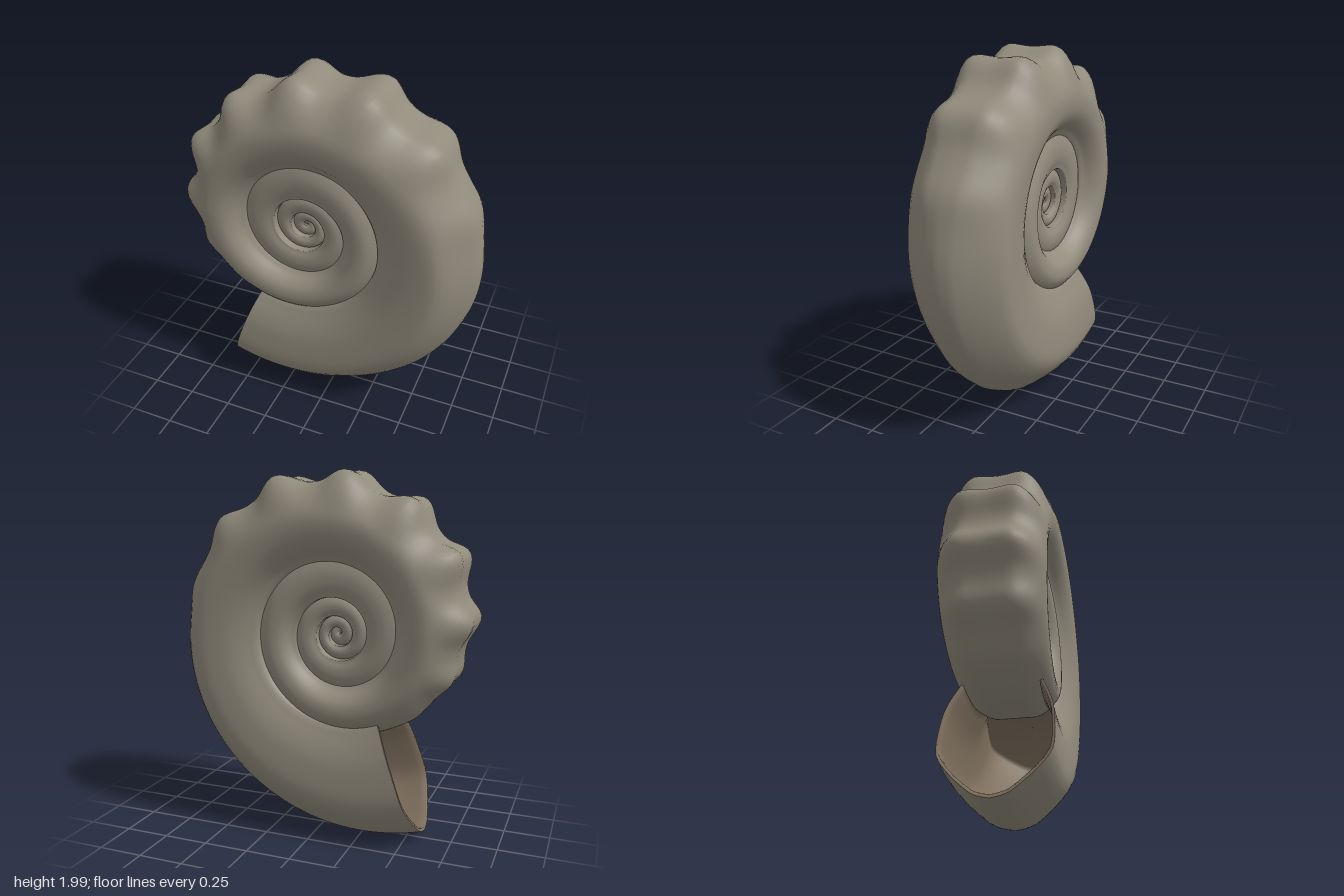
import * as THREE from 'three';

const CENTRE = new THREE.Vector2(-0.13, 1.145); // axis of the coil
const HALF = 26; // points on half a cross-section
const { smoothstep, lerp, clamp, degToRad } = THREE.MathUtils;
const MOUTH = degToRad(246.7); // angle of the aperture

// Half cross-sections as (height 0..1 from umbilicus to venter, relative half-width)
const toSection = (pts) =>
  new THREE.SplineCurve(pts.map(([u, w]) => new THREE.Vector2(u, w))).getPoints(HALF);
const flatVenter = toSection([[0, 0], [0, 0.45], [0.02, 0.6], [0.1, 0.68], [0.19, 0.82], [0.31, 0.94],
  [0.44, 0.985], [0.6, 0.98], [0.75, 0.87], [0.89, 0.69], [0.99, 0.48], [1, 0.25], [1, 0]]);
const keeledVenter = toSection([[0, 0], [0, 0.5], [0.02, 0.7], [0.1, 0.79], [0.19, 0.88], [0.31, 0.96],
  [0.44, 0.99], [0.57, 1], [0.69, 0.95], [0.82, 0.71], [0.95, 0.36], [0.985, 0.18], [1, 0]]);

// Point on the shell: t = radians coiled back from the mouth, j = position round the section
function shellPoint(t, j, scale) {
  const k = j <= HALF ? j : 2 * HALF - j;
  const side = j <= HALF ? 1 : -1;
  const angle = MOUTH + t;
  const keel = 1 - smoothstep(angle, degToRad(355), degToRad(425));
  const u = 0.5 + (lerp(flatVenter[k].x, keeledVenter[k].x, keel) - 0.5) * scale;
  let w = lerp(flatVenter[k].y, keeledVenter[k].y, keel) * scale;

  // the early whorls have low relief and form a shallow bowl
  if (k > 0 && k < HALF) w = lerp(w, 0.75 + 0.25 * w, smoothstep(t, 6.8, 10));
  const halfWidth = 0.28 * Math.exp(-0.08 * clamp(t - 5, 0, 5) - 0.035 * Math.max(t - 10, 0));

  // logarithmic growth of the whorl, closing on the axis at the start
  const rOut = 1.19 * Math.exp(-0.117 * t) * (1 + 0.09 * smoothstep(t, 7, 11));
  const overlap = 0.41 + 0.05 * smoothstep(t, 0, 2.5) + 0.03 * smoothstep(t, 2.5, 5);
  const rIn = rOut * overlap * (1 - smoothstep(t, 20, 26));

  // nodes on the shoulders of the middle part of the last whorl
  const envelope = smoothstep(angle, degToRad(350), degToRad(425))
    * (1 - smoothstep(angle, degToRad(500), degToRad(605)));
  const wave = Math.pow(0.5 + 0.5 * Math.cos((angle - degToRad(453)) * 360 / 26.7), 1.3);
  const node = envelope * wave * smoothstep(u, 0.6, 1) * (0.85 + 0.15 * smoothstep(w, 0, 0.45));

  const r = lerp(rIn, rOut, u) + 0.072 * node;
  const z = side * w * (halfWidth + 0.02 * node);
  const a = angle - 0.1 * (1 - u) * Math.exp(-3 * t); // slanted lip
  return [CENTRE.x + r * Math.cos(a), CENTRE.y + r * Math.sin(a), z];
}

// Skin a series of closed sections given as [t, scale]
function skin(rows, inward) {
  const n = 2 * HALF;
  const pos = [];
  const index = [];
  rows.forEach(([t, scale], i) => {
    for (let j = 0; j < n; j++) {
      pos.push(...shellPoint(t, j, scale));
      if (i === rows.length - 1) continue;
      const a = i * n + j, b = i * n + (j + 1) % n, c = a + n, d = b + n;
      if (inward) index.push(a, c, b, b, c, d);
      else index.push(a, b, c, b, d, c);
    }
  });
  const geo = new THREE.BufferGeometry();
  geo.setAttribute('position', new THREE.Float32BufferAttribute(pos, 3));
  geo.setIndex(index);
  geo.computeVertexNormals();
  return geo;
}

export function createModel() {
  const group = new THREE.Group();
  group.name = 'coiledShell';

  // outer surface, coiled right to the axis
  const steps = 750;
  const outerRows = Array.from({ length: steps + 1 }, (_, i) => [33 * Math.pow(i / steps, 1.3), 1]);
  const shell = new THREE.Mesh(skin(outerRows, false),
    new THREE.MeshStandardMaterial({ color: 0x918b7c }));
  shell.name = 'whorls';

  // lip and inner lining, closed deep inside the mouth
  const liningRows = [[0, 1], [0, 0.95]];
  for (let i = 1; i <= 30; i++) liningRows.push([i * 0.045, 0.94]);
  liningRows.push([1.4, 0.01]);
  const lining = new THREE.Mesh(skin(liningRows, true),
    new THREE.MeshStandardMaterial({ color: 0x7f705e, side: THREE.DoubleSide }));
  lining.name = 'apertureLining';

  group.add(shell, lining);
  return group;
}
